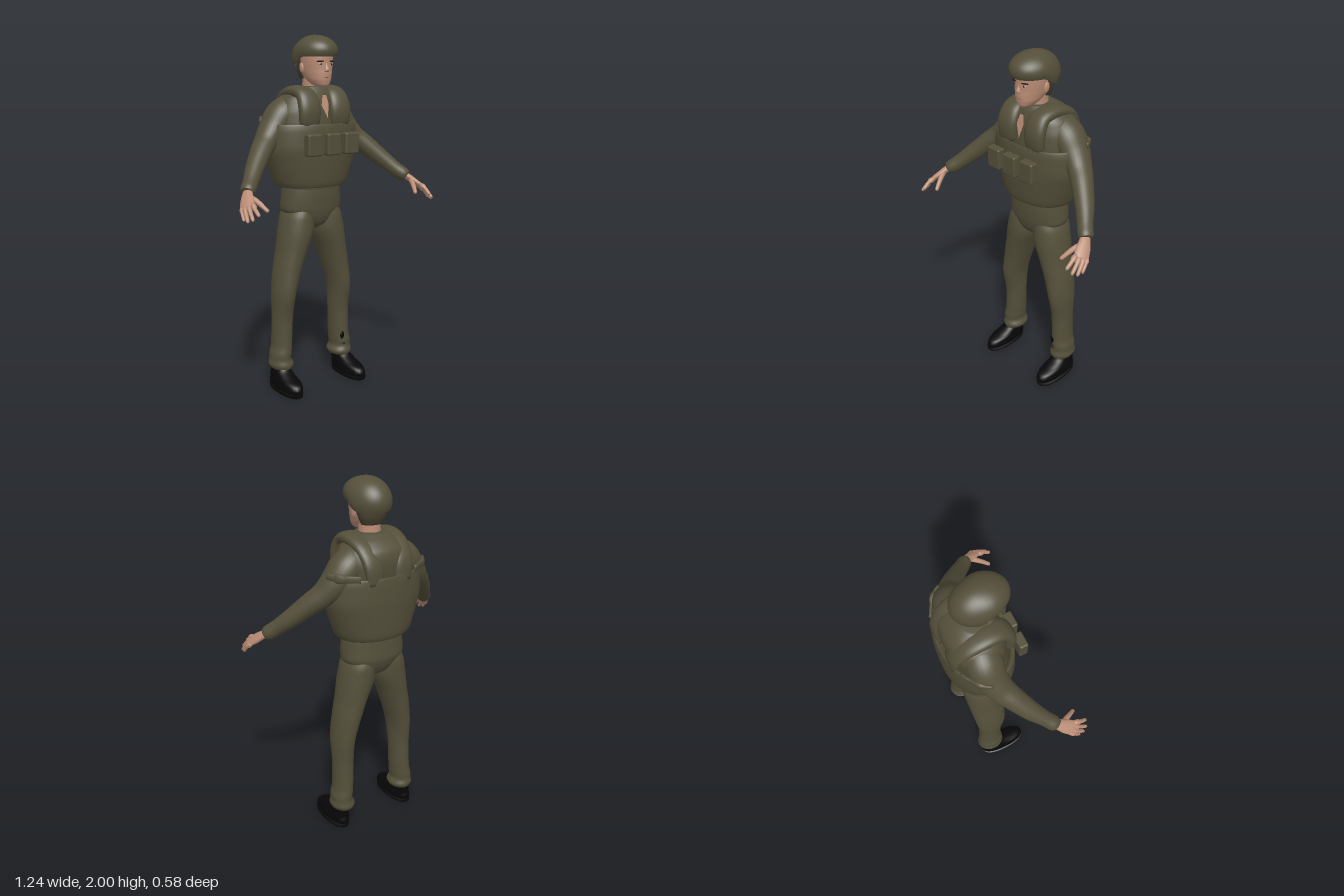
import * as THREE from 'three';
import { RoundedBoxGeometry } from 'three/addons/geometries/RoundedBoxGeometry.js';

const mat = (name, color, side = THREE.FrontSide) => {
  const m = new THREE.MeshStandardMaterial({ color, side });
  m.name = name;
  return m;
};

// Smooth skin over rings [x, y, z, halfWidth, halfDepth]; rings lie flat, or across the path when a side vector is given
function loft(rings, { n = 28, exp = 2, steps = 5, side = null, caps = true } = {}) {
  const centres = new THREE.CatmullRomCurve3(rings.map(r => new THREE.Vector3(r[0], r[1], r[2])));
  const radii = new THREE.CatmullRomCurve3(rings.map(r => new THREE.Vector3(r[3], r[4], 0)));
  const count = (rings.length - 1) * steps;
  const pos = [], idx = [];
  const pow = v => Math.sign(v) * Math.pow(Math.abs(v), 2 / exp);
  for (let i = 0; i <= count; i++) {
    const t = i / count, c = centres.getPoint(t), r = radii.getPoint(t);
    const T = side ? centres.getTangent(t) : new THREE.Vector3(0, 1, 0);
    const U = (side || new THREE.Vector3(1, 0, 0)).clone();
    U.addScaledVector(T, -U.dot(T)).normalize();
    const V = T.clone().cross(U);
    for (let j = 0; j < n; j++) {
      const a = j / n * Math.PI * 2;
      const p = c.clone().addScaledVector(U, r.x * pow(Math.cos(a))).addScaledVector(V, r.y * pow(Math.sin(a)));
      pos.push(p.x, p.y, p.z);
      if (i < count) {
        const k = (j + 1) % n, A = i * n + j, B = i * n + k;
        idx.push(A, B, B + n, A, B + n, A + n);
      }
    }
  }
  if (caps) {
    const first = pos.length / 3, top = count * n;
    pos.push(...rings[0].slice(0, 3), ...rings[rings.length - 1].slice(0, 3));
    for (let j = 0; j < n; j++) {
      const k = (j + 1) % n;
      idx.push(first, k, j, first + 1, top + j, top + k);
    }
  }
  const g = new THREE.BufferGeometry();
  g.setAttribute('position', new THREE.Float32BufferAttribute(pos, 3));
  g.setIndex(idx);
  g.computeVertexNormals();
  return g;
}

export function createModel() {
  const root = new THREE.Group();
  root.name = 'soldier';
  const olive = mat('olive cloth', 0x544f3a);
  const vestCloth = mat('vest cloth', 0x544f3a, THREE.DoubleSide);
  const skin = mat('skin', 0xba8d76, THREE.DoubleSide);
  const lip = mat('lips', 0x9c6b5a);
  const hairMat = mat('hair', 0x453e2e);
  const dark = mat('brow and pupil', 0x1c1511);
  const white = mat('eye white', 0xb0a398);
  const black = mat('boot leather', 0x070708);

  const add = (name, geo, material, parent = root) => {
    const m = new THREE.Mesh(geo, material);
    m.name = name;
    parent.add(m);
    return m;
  };
  const ball = (name, material, p, s, parent = root) => {
    const m = add(name, new THREE.SphereGeometry(1, 18, 12), material, parent);
    m.position.set(...p);
    m.scale.set(...s);
    return m;
  };
  const flip = (rings, s) => rings.map(([x, ...rest]) => [x * s, ...rest]);

  // Jacket body, rising into a collar
  add('jacket', loft([
    [0, 1.1, -.1, .17, .12], [0, 1.2, -.1, .18, .13], [0, 1.35, -.1, .21, .14], [0, 1.5, -.105, .225, .15],
    [0, 1.58, -.112, .22, .152], [0, 1.65, -.113, .192, .14], [0, 1.695, -.1, .145, .112],
    [0, 1.725, -.085, .085, .078],
  ], { exp: 2.2, n: 40 }), olive);

  // Open neckline
  const vee = new THREE.Shape([[-.012, .055], [.012, .055], [.022, .005], [.004, -.07], [-.026, .0]].map(p => new THREE.Vector2(...p)));
  const neckline = add('neckline', new THREE.ShapeGeometry(vee), skin);
  neckline.position.set(0, 1.625, .046);
  neckline.rotation.x = -.22;

  // Vest: open-topped shell with a turned-in rim
  add('vest', loft([
    [0, 1.2, -.105, .185, .135], [0, 1.175, -.105, .206, .158], [0, 1.2, -.105, .224, .17], [0, 1.3, -.103, .258, .181],
    [0, 1.4, -.102, .284, .187], [0, 1.49, -.102, .28, .186], [0, 1.525, -.102, .268, .18], [0, 1.515, -.102, .252, .165],
  ], { exp: 2.15, n: 48, caps: false }), vestCloth);

  // Chest pouches
  [[-.122, .108], [0, .112], [.122, .108]].forEach(([x, z]) => {
    add('pouch', new RoundedBoxGeometry(.09, .118, .05, 3, .01), olive).position.set(x, 1.418, z);
  });

  // Trouser seat, narrowing into the crotch
  add('trouserSeat', loft([
    [0, .925, -.1, .03, .045], [0, .955, -.1, .09, .09], [0, 1.0, -.103, .155, .114], [0, 1.05, -.105, .186, .126],
    [0, 1.1, -.102, .183, .127], [0, 1.16, -.1, .177, .126], [0, 1.21, -.1, .17, .12],
  ], { exp: 2.2, n: 40 }), olive);

  for (const s of [1, -1]) {
    const half = new THREE.Group();
    half.name = s > 0 ? 'leftLimbs' : 'rightLimbs';
    root.add(half);

    // Padded shoulder strap, over the shoulder from chest to back
    add('shoulderPad', loft(flip([
      [.1, 1.51, .03, .035, .02], [.1, 1.53, .037, .06, .032], [.099, 1.61, .038, .066, .036],
      [.1, 1.68, .0, .06, .034], [.108, 1.698, -.09, .058, .032], [.104, 1.665, -.185, .056, .03],
      [.094, 1.59, -.245, .053, .026], [.085, 1.49, -.258, .05, .02],
    ], s), { exp: 2.4, side: new THREE.Vector3(1, 0, 0) }), olive, half);

    // Rear strap from the vest rim round the shoulder blade
    add('rearStrap', loft(flip([
      [.17, 1.53, -.25, .018, .008], [.23, 1.535, -.215, .018, .009], [.28, 1.54, -.175, .018, .009], [.302, 1.545, -.14, .014, .007],
    ], s), { n: 12, exp: 3, side: new THREE.Vector3(0, 1, 0) }), olive, half);

    // Sleeve
    add('sleeve', loft(flip([
      [.12, 1.61, -.12, .085, .078], [.18, 1.565, -.125, .096, .087], [.24, 1.495, -.117, .086, .076],
      [.3, 1.43, -.09, .07, .062], [.35, 1.385, -.055, .062, .057], [.43, 1.303, .01, .052, .049],
      [.49, 1.24, .07, .042, .042], [.52, 1.213, .098, .042, .04], [.534, 1.2, .11, .036, .034],
    ], s), { side: new THREE.Vector3(0, 0, 1) }), olive, half);

    // Hand: flat palm, four fingers and thumb
    const across = new THREE.Vector3(-.57 * s, .34, .74);
    add('palm', loft(flip([
      [.515, 1.217, .095, .024, .02], [.54, 1.195, .125, .03, .019], [.56, 1.17, .158, .039, .018],
      [.578, 1.147, .19, .04, .015], [.584, 1.139, .199, .034, .01],
    ], s), { side: across, n: 18 }), skin, half);
    [[.031, [.565, 1.11, .285]], [.011, [.594, 1.088, .275]], [-.01, [.61, 1.078, .252]], [-.029, [.616, 1.082, .222]]]
      .forEach(([k, tip], i) => {
        const b = [.576 - .57 * k, 1.15 + .34 * k, .184 + .74 * k];
        const at = (t, lift, r) => [...b.map((v, a) => v + (tip[a] - v) * t + (a < 2 ? lift : 0)), r, r];
        const r = i === 3 ? .0095 : .0115;
        add('finger', loft(flip([at(0, 0, r), at(.45, .004, r), at(.9, 0, r * .85), at(1, 0, r * .4)], s),
          { side: across, n: 10, steps: 3 }), skin, half);
      });
    add('thumb', loft(flip([
      [.545, 1.188, .14, .016, .016], [.522, 1.168, .183, .015, .014], [.503, 1.14, .222, .012, .012],
      [.492, 1.122, .243, .01, .01], [.49, 1.118, .247, .004, .004],
    ], s), { side: across, n: 10, steps: 3 }), skin, half);

    // Trouser leg with a bunched cuff, tucked into the seat at the top
    add('trouserLeg', loft(flip([
      [.208, .118, -.105, .06, .076], [.208, .14, -.107, .07, .083], [.213, .175, -.108, .059, .075],
      [.211, .205, -.107, .06, .076], [.204, .25, -.107, .057, .072], [.198, .4, -.105, .058, .07],
      [.193, .56, -.097, .064, .091], [.165, .7, -.1, .077, .099], [.138, .8, -.1, .085, .106],
      [.105, .92, -.1, .101, .115], [.095, 1.0, -.103, .093, .114], [.085, 1.06, -.103, .075, .1],
    ], s), { n: 32 }), olive, half);

    // Boot and sole
    add('boot', loft(flip([
      [.222, .018, -.027, .052, .138], [.222, .04, -.028, .058, .145], [.221, .066, -.034, .057, .134],
      [.219, .09, -.068, .051, .1], [.215, .12, -.1, .047, .07], [.21, .19, -.105, .045, .062],
    ], s), { exp: 2.3 }), black, half);
    add('sole', loft(flip([
      [.224, 0, -.027, .058, .143], [.224, .02, -.027, .06, .146],
    ], s), { exp: 2.3, steps: 1 }), black, half);

    // Ear, eye and brow
    ball('ear', skin, [.086 * s, 1.824, -.058], [.008, .028, .018], half).rotation.x = -.2;
    ball('eyeWhite', white, [.034 * s, 1.843, .048], [.012, .0045, .006], half);
    ball('pupil', dark, [.034 * s, 1.843, .052], [.0055, .005, .004], half);
    const brow = ball('brow', dark, [.036 * s, 1.858, .048], [.022, .004, .008], half);
    brow.rotation.set(0, .35 * s, -.04 * s);
  }

  // Torn patches on the left shin
  ball('shinTear', black, [.183, .245, -.037], [.014, .024, .006]);
  ball('shinTearLow', black, [.195, .19, -.034], [.01, .004, .005]);

  // Neck and head
  add('neck', loft([
    [0, 1.58, -.095, .068, .065], [0, 1.68, -.08, .061, .062], [0, 1.74, -.075, .058, .062], [0, 1.8, -.075, .06, .06],
  ]), skin);
  add('head', loft([
    [0, 1.722, .012, .022, .03], [0, 1.733, -.002, .042, .054], [0, 1.76, -.022, .062, .08],
    [0, 1.8, -.045, .076, .104], [0, 1.84, -.047, .083, .105], [0, 1.885, -.053, .087, .112], [0, 1.92, -.055, .08, .1],
  ], { exp: 2.1, n: 36 }), skin);
  add('nose', loft([
    [0, 1.8, .05, .011, .007], [0, 1.806, .055, .015, .014], [0, 1.815, .056, .013, .015],
    [0, 1.835, .052, .009, .01], [0, 1.86, .048, .008, .008],
  ], { n: 16 }), skin);
  ball('mouth', lip, [0, 1.774, .053], [.022, .005, .007]);
  add('hair', loft([
    [0, 1.765, -.1, .062, .045], [0, 1.8, -.1, .078, .056], [0, 1.84, -.09, .086, .068], [0, 1.89, -.09, .091, .075],
  ]), hairMat);

  // Helmet: rounded dome whose rim drops behind the ears and tucks in
  const dome = new THREE.SphereGeometry(1, 48, 28, 0, Math.PI * 2, 0, Math.PI * .61);
  const p = dome.attributes.position;
  for (let i = 0; i < p.count; i++) {
    const x = p.getX(i), y = p.getY(i), z = p.getZ(i);
    const rim = 1.878 + .034 * THREE.MathUtils.smoothstep(z, -.35, .3);
    p.setXYZ(i, x * .116, rim + (2 - rim) * y, -.058 + z * .149);
  }
  dome.computeVertexNormals();
  add('helmet', dome, vestCloth);

  return root;
}
